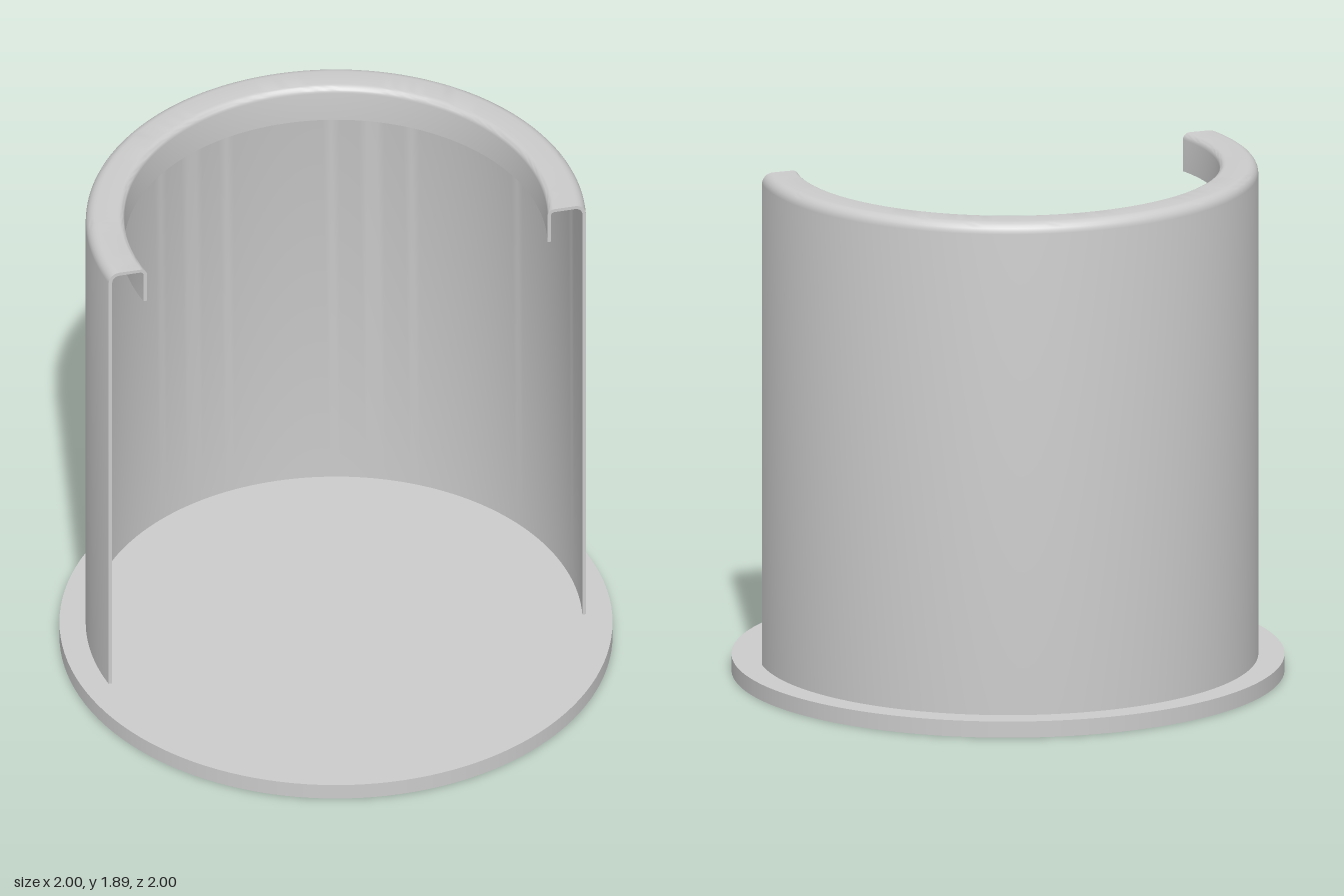
import * as THREE from 'three';
import { toCreasedNormals } from 'three/addons/utils/BufferGeometryUtils.js';

const BASE_H = 0.06, TOP = 1.893, R_OUT = 0.905, R_LIP = 0.765, LIP_Y = 1.75;
const WALL = 0.013, CUT_Z = 0.17, STEPS = 96;

export function createModel() {
  const group = new THREE.Group();
  const material = new THREE.MeshStandardMaterial({ color: 0xcccccc });
  const add = (name, geometry) => {
    const mesh = new THREE.Mesh(geometry, material);
    mesh.name = name;
    group.add(mesh);
  };

  // Round base plate
  const base = new THREE.CylinderGeometry(1, 1, BASE_H, 128);
  base.translate(0, BASE_H / 2, 0);
  add('basePlate', base);

  // Thin wall section: up the outside, over the rounded rim, down the lip, back along the inside
  const profile = [];
  const arc = (cx, cy, r, from, to) => {
    for (let i = 0; i <= 6; i++) {
      const a = from + (to - from) * i / 6;
      profile.push(new THREE.Vector2(cx + r * Math.cos(a), cy + r * Math.sin(a)));
    }
  };
  const outer = 0.04, inner = 0.025, q = Math.PI / 2;
  profile.push(new THREE.Vector2(R_OUT, BASE_H));
  arc(R_OUT - outer, TOP - outer, outer, 0, q);
  arc(R_LIP + inner, TOP - inner, inner, q, 2 * q);
  profile.push(new THREE.Vector2(R_LIP, LIP_Y), new THREE.Vector2(R_LIP + WALL, LIP_Y));
  arc(R_LIP + inner, TOP - inner, inner - WALL, 2 * q, q);
  arc(R_OUT - outer, TOP - outer, outer - WALL, q, 0);
  profile.push(new THREE.Vector2(R_OUT - WALL, BASE_H));

  // Sweep the section round the back, ending every ring on the flat plane z = CUT_Z
  const closed = [...profile, profile[0].clone()];
  const shell = new THREE.LatheGeometry(closed, STEPS);
  const pos = shell.attributes.position;
  for (let i = 0; i < pos.count; i++) {
    const p = closed[i % closed.length];
    const t = Math.floor(i / closed.length) / STEPS;
    const start = Math.acos(CUT_Z / p.x);
    const phi = start + t * 2 * (Math.PI - start);
    pos.setXYZ(i, p.x * Math.sin(phi), p.y, p.x * Math.cos(phi));
  }
  add('curvedShell', toCreasedNormals(shell, 0.6));

  // Flat cut ends of the shell
  for (const side of [1, -1]) {
    const outline = profile.map(p =>
      new THREE.Vector2(side * Math.sqrt(p.x * p.x - CUT_Z * CUT_Z), p.y));
    const end = new THREE.ShapeGeometry(new THREE.Shape(outline));
    end.translate(0, 0, CUT_Z);
    add(side > 0 ? 'leftShellEnd' : 'rightShellEnd', end);
  }
  return group;
}
